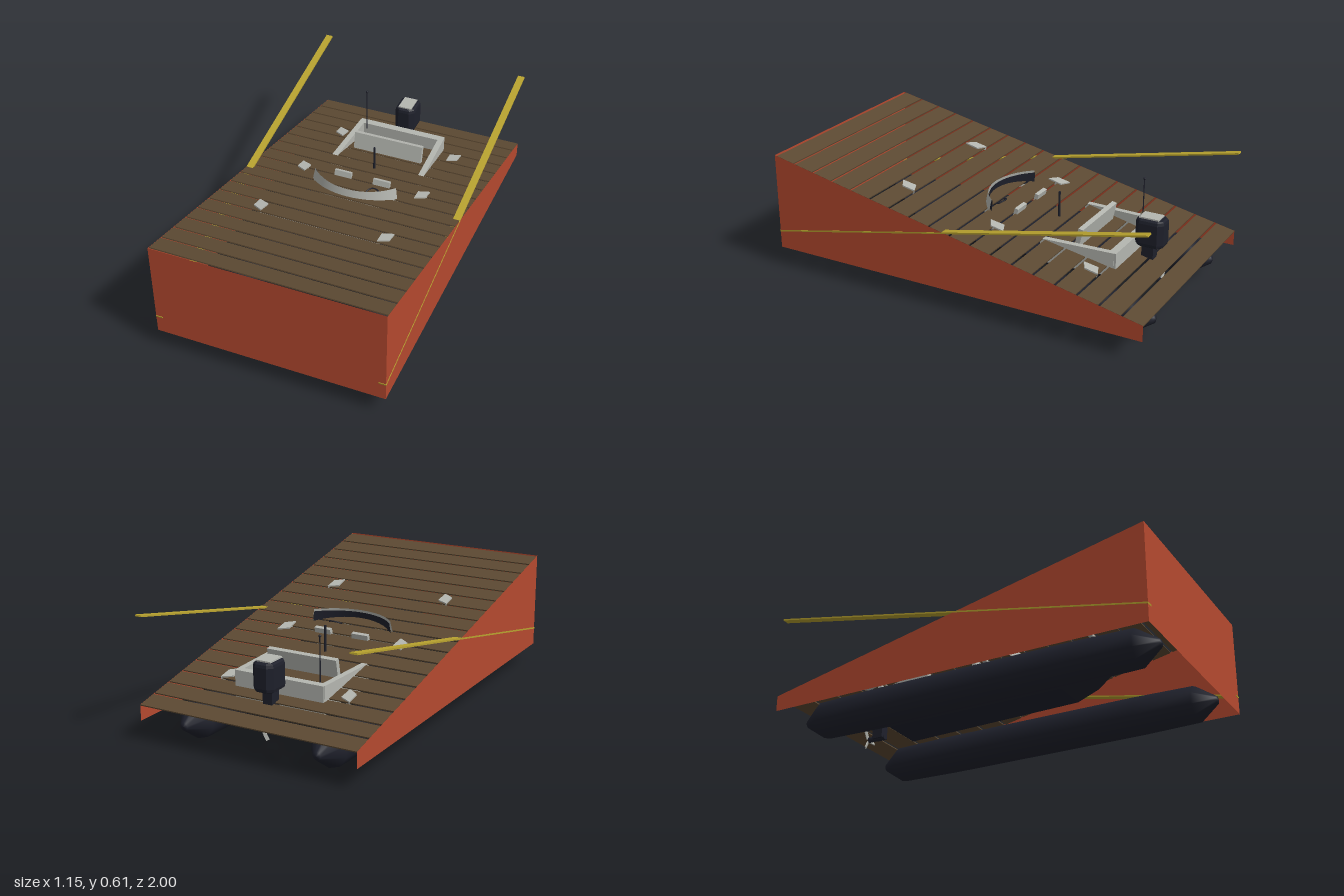
import * as THREE from 'three';

const mat = (name, color, side = THREE.FrontSide) => {
  const m = new THREE.MeshStandardMaterial({ color, side });
  m.name = name;
  return m;
};

export function createModel() {
  const red = mat('red paint', 0xb5492f, THREE.DoubleSide);
  const brown = mat('brown planks', 0x5c4932);
  const yellow = mat('yellow rail', 0xb9a32f);
  const gray = mat('light gray', 0xb4b6b0, THREE.DoubleSide);
  const dark = mat('dark rubber', 0x1e202b, THREE.DoubleSide);

  const root = new THREE.Group();
  const add = (name, geo, material, x = 0, y = 0, z = 0, rx = 0, parent = root) => {
    const m = new THREE.Mesh(geo, material);
    m.name = name;
    m.position.set(x, y, z);
    m.rotation.x = rx;
    parent.add(m);
    return m;
  };
  const box = (name, material, w, h, d, x, y, z, rx = 0, parent = root) =>
    add(name, new THREE.BoxGeometry(w, h, d), material, x, y, z, rx, parent);

  const slope = Math.atan(0.21);
  const deckY = z => 0.39 + 0.21 * z;

  // wedge body: thin front and side panels, open underneath and behind
  add('frontPanel', new THREE.PlaneGeometry(1.15, 0.5), red, 0, 0.35, 1);
  const sideShape = new THREE.Shape([[-1, 0.1], [1, 0.1], [1, 0.6], [-1, 0.18]]
    .map(([z, y]) => new THREE.Vector2(z, y)));
  for (const s of [-1, 1]) {
    const geo = new THREE.ShapeGeometry(sideShape).rotateY(-Math.PI / 2);
    add('sidePanel', geo, red, s * 0.575, 0, 0);
  }

  // sloping deck of spaced planks
  const deck = new THREE.Group();
  deck.name = 'deck';
  root.add(deck);
  const pitch = 2 / 18, plank = 0.0985;
  for (let i = 0; i < 18; i++) {
    const z = -1 + i * pitch + plank / 2;
    box('plank', brown, 1.148, 0.006, plank / Math.cos(slope), 0, deckY(z) - 0.003, z, -slope, deck);
  }

  // rails crossing the deck at the opposite slope
  for (const s of [-1, 1]) {
    box('rail', yellow, 0.036, 0.008, 2.047, s * 0.5585, 0.4, 0, slope);
  }

  // ten-sided floats with tapered ends
  const floatProfile = [[0, -0.97], [0.02, -0.965], [0.094, -0.86], [0.1, -0.55],
    [0.1, 0.55], [0.094, 0.86], [0.02, 0.965], [0, 0.97]].map(p => new THREE.Vector2(...p));
  for (const s of [-1, 1]) {
    const geo = new THREE.LatheGeometry(floatProfile, 10).rotateX(Math.PI / 2);
    add('float', geo, dark, s * 0.355, 0.1, 0);
  }

  // central hull lofted between cross-sections: z, floor height, half width
  const sections = [[-0.68, 0.14, 0.22], [0.3, 0.16, 0.22], [0.43, 0.19, 0.18],
    [0.545, 0.24, 0.12], [0.67, 0.3, 0.04]];
  const pos = [], idx = [];
  sections.forEach(([z, y, w], j) => {
    pos.push(-w, y + 0.05, z, -w * 0.8, y, z, w * 0.8, y, z, w, y + 0.05, z);
    if (j === 0) return;
    for (let k = 0; k < 4; k++) {
      const a = (j - 1) * 4 + k, b = (j - 1) * 4 + (k + 1) % 4;
      idx.push(a, b, b + 4, a, b + 4, a + 4);
    }
  });
  const last = (sections.length - 1) * 4;
  idx.push(0, 2, 1, 0, 3, 2, last, last + 1, last + 2, last, last + 2, last + 3);
  const loft = new THREE.BufferGeometry();
  loft.setAttribute('position', new THREE.Float32BufferAttribute(pos, 3));
  loft.setIndex(idx);
  const hull = loft.toNonIndexed();
  hull.computeVertexNormals();
  add('centralHull', hull, dark);

  // three cross beams whose end tabs show just above the deck
  for (const z of [-0.565, -0.065, 0.435]) {
    box('crossBeam', gray, 0.62, 0.015, 0.02, 0, deckY(z) - 0.025, z - 0.005, -slope);
    for (const s of [-1, 1]) {
      const tab = new THREE.Shape([[0.3, 0.005], [0.295, 0.08], [0.35, 0.105], [0.35, 0.035]]
        .map(([x, y]) => new THREE.Vector2(s * x, y)));
      const geo = new THREE.ExtrudeGeometry(tab, { depth: 0.02, bevelEnabled: false })
        .rotateX(-Math.PI / 2);
      add('beamTab', geo, gray, 0, deckY(z) - 0.013, z, -slope);
    }
  }

  // curved windscreen leaning back, with a dark trim along its foot
  const halfArc = Math.asin(0.23 / 0.3);
  add('windscreen', new THREE.CylinderGeometry(0.285, 0.305, 0.09, 16, 1, true, -halfArc, 2 * halfArc),
    gray, 0, 0.4, -0.215);
  add('windscreenTrim', new THREE.CylinderGeometry(0.282, 0.29, 0.06, 16, 1, true, -halfArc, 2 * halfArc),
    dark, 0, 0.405, -0.218);
  add('steeringWheel', new THREE.TorusGeometry(0.035, 0.004, 6, 16), dark, 0.1, 0.385, -0.01, -1.1);

  // front seat backs
  for (const s of [-1, 1]) {
    box('frontSeatBack', gray, 0.09, 0.1, 0.02, s * 0.105, 0.342, -0.12, -0.25);
  }

  // stern frame: transom, side arms and rear bench back
  box('transom', gray, 0.48, 0.14, 0.04, 0, 0.25, -0.69);
  box('transomFloor', gray, 0.4, 0.01, 0.1, 0, 0.185, -0.65);
  for (const s of [-1, 1]) {
    const arm = box('sternArm', gray, 0.03, 0.12, 0.38, s * 0.235, 0.26, -0.51);
    arm.rotation.y = s * 0.04;
  }
  box('benchBack', gray, 0.38, 0.16, 0.025, 0, 0.3, -0.485, -0.2);

  // short post and ball-tipped aerial
  add('post', new THREE.CylinderGeometry(0.006, 0.006, 0.16, 8), dark, 0, 0.38, -0.29);
  add('aerial', new THREE.CylinderGeometry(0.003, 0.003, 0.24, 6), dark, -0.19, 0.42, -0.655);
  add('aerialTip', new THREE.SphereGeometry(0.007, 8, 6), dark, -0.19, 0.535, -0.655);

  // outboard engine
  const engine = new THREE.Group();
  engine.name = 'outboardEngine';
  root.add(engine);
  const c = 0.025, w = 0.055, d = 0.072;
  const cowl = new THREE.Shape([[-w + c, -d], [w - c, -d], [w, -d + c], [w, d - c],
    [w - c, d], [-w + c, d], [-w, d - c], [-w, -d + c]].map(p => new THREE.Vector2(...p)));
  const cowlGeo = new THREE.ExtrudeGeometry(cowl, {
    depth: 0.1, bevelThickness: 0.02, bevelSize: 0.012, bevelOffset: -0.012, bevelSegments: 2,
  }).rotateX(-Math.PI / 2);
  add('cowl', cowlGeo, dark, 0, 0.31, -0.785, 0, engine);
  box('cowlCap', gray, 0.072, 0.012, 0.1, 0, 0.431, -0.78, 0, engine);
  box('engineLeg', dark, 0.05, 0.2, 0.06, 0, 0.21, -0.775, 0, engine);
  add('gearCase', new THREE.CylinderGeometry(0.015, 0.015, 0.1, 8).rotateX(Math.PI / 2),
    dark, 0, 0.116, -0.79, 0, engine);
  for (let i = 0; i < 3; i++) {
    const blade = new THREE.Group();
    blade.name = 'propellerBlade';
    blade.position.set(0, 0.112, -0.845);
    blade.rotation.z = -0.5 + i * Math.PI * 2 / 3;
    box('blade', gray, 0.016, 0.042, 0.006, 0, -0.031, 0, 0, blade).rotation.y = 0.4;
    engine.add(blade);
  }
  return root;
}
